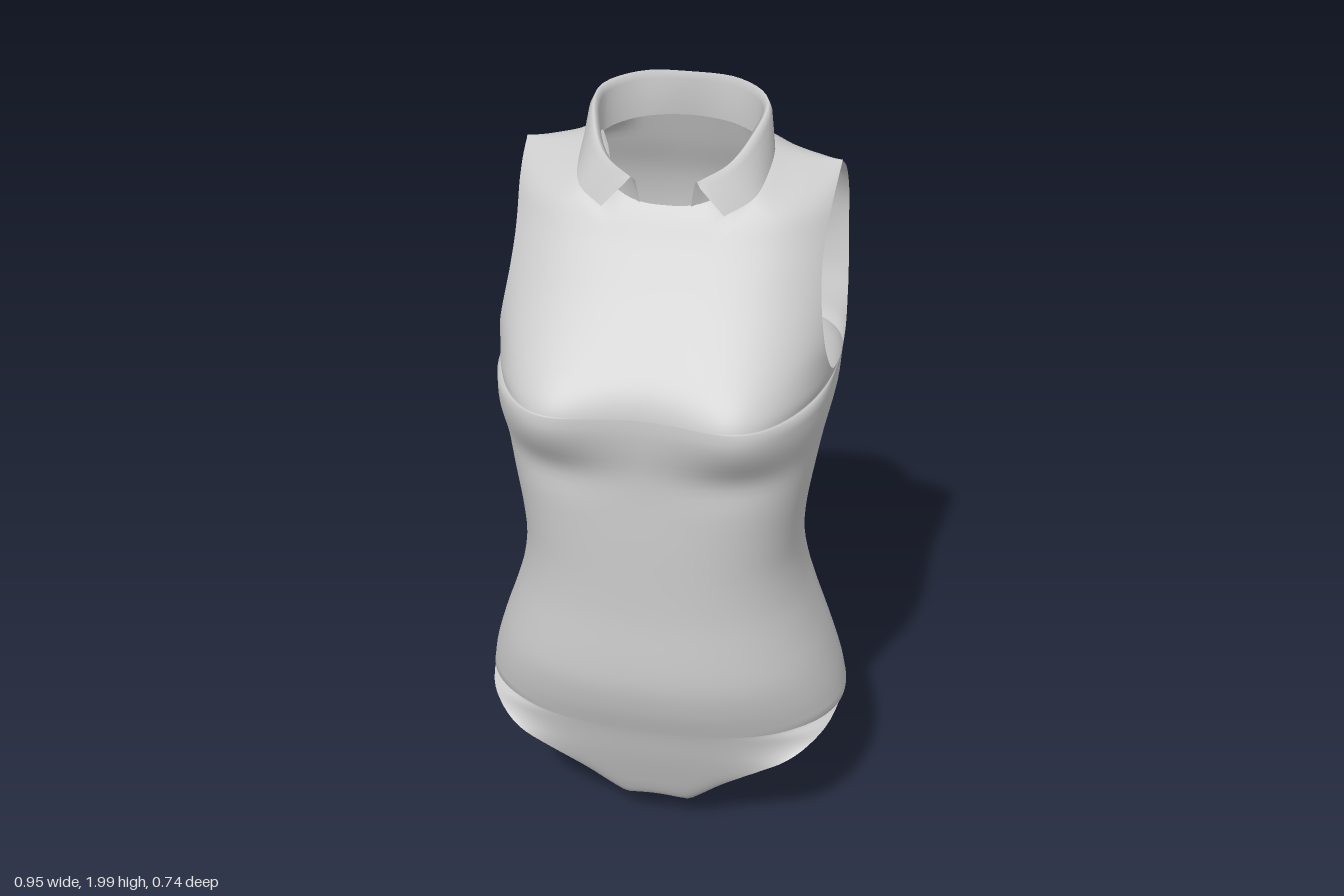
import * as THREE from 'three';
import { mergeGeometries, mergeVertices } from 'three/addons/utils/BufferGeometryUtils.js';

const HIP = 0.42, ARM = 1.37, SEAM_Z = -0.16, COLS = 60;
const { smoothstep: smooth, lerp, clamp } = THREE.MathUtils;
const bell = (d, r) => Math.exp(-((d / r) ** 2));

// Smooth curve through flat [key, value, key, value ...] pairs
function curve(p) {
  const n = p.length / 2, k = i => p[2 * i], v = i => p[2 * i + 1];
  const slope = i => {
    const a = Math.max(i - 1, 0), b = Math.min(i + 1, n - 1);
    return (v(b) - v(a)) / (k(b) - k(a));
  };
  return y => {
    if (y <= k(0)) return v(0);
    if (y >= k(n - 1)) return v(n - 1);
    let i = 0;
    while (y > k(i + 1)) i++;
    const h = k(i + 1) - k(i), t = (y - k(i)) / h, t2 = t * t, t3 = t2 * t;
    return (2 * t3 - 3 * t2 + 1) * v(i) + (t3 - 2 * t2 + t) * h * slope(i)
      + (3 * t2 - 2 * t3) * v(i + 1) + (t3 - t2) * h * slope(i + 1);
  };
}

// Whole torso, ignoring the openings: half width and depth of the side line
const girth = curve([0, .49, .2, .492, .36, .485, HIP, .475, .5, .46, .6, .43, .7, .395, .8, .365, .9, .35, 1, .355,
  1.1, .37, 1.2, .387, 1.3, .408, ARM, .412, 1.4, .416, 1.45, .428, 1.5, .438, 1.6, .45, 1.85, .47]);
const sideLine = curve([0, 0, HIP, 0, .6, .02, .9, .04, 1.15, .02, ARM, -.09, 1.5, -.11, 1.6, -.13, 1.7, -.15, 1.85, SEAM_Z]);
const shoulder = curve([0, 1.91, .1, 1.908, .2, 1.892, .26, 1.865, .33, 1.85, .385, 1.845]);

// Each panel: its outline at the leg and arm openings, centre profile and relief
const front = {
  legX: curve([.01, .042, .06, .05, .1, .085, .15, .13, .22, .2, .3, .3, .365, .4, HIP, .475]),
  legZ: curve([.01, -.02, .04, .02, .06, .06, .08, .12, .1, .155, .2, .2, .3, .235, .34, .232, .38, .185, .405, .12, HIP, 0]),
  armX: curve([ARM, .412, 1.45, .4, 1.6, .376, 1.7, .371, 1.845, .385]),
  armZ: curve([ARM, -.09, 1.378, -.02, 1.4, .05, 1.45, .095, 1.5, .105, 1.6, .07, 1.7, .01, 1.8, -.07, 1.83, -.11, 1.845, SEAM_Z]),
  centre: curve([.01, -.02, .04, .02, .06, .07, .1, .165, .15, .195, .2, .215, .3, .25, .4, .28, .5, .315, .6, .333, .8, .325, 1, .325,
    1.2, .325, 1.3, .338, 1.37, .34, 1.43, .32, 1.5, .268, 1.6, .185, 1.7, .11, 1.79, .045, 1.85, -.03, 1.91, -.13]),
  fullness: curve([HIP, .47, .8, .42, 1.2, .36, 1.36, .3, 1.5, .36, 1.9, .4]),
  power: curve([.5, 2.5, 1, 2.8, 1.36, 3.3, 1.6, 2.8]),
  top: x => shoulder(x) - .125 * (1 - Math.min(1, x / .205) ** 3),
  // Bust, with the fold below it
  relief: (x, y) => .05 * bell(Math.abs(x) - .25, .14) * bell(y - 1.35, .11)
    - .012 * bell(Math.abs(x) - .23, .13) * bell(y - 1.19, .05),
};
const back = {
  legX: curve([.01, .042, .05, .034, .09, .034, .13, .06, .19, .14, .25, .22, .3, .3, .365, .4, HIP, .475]),
  legZ: curve([.01, -.02, .04, -.1, .08, -.2, .13, -.305, .19, -.355, .27, -.35, .33, -.3, .38, -.19, .405, -.11, HIP, 0]),
  armX: curve([ARM, .412, 1.45, .402, 1.6, .39, 1.7, .388, 1.845, .385]),
  armZ: curve([ARM, -.09, 1.378, -.14, 1.4, -.2, 1.45, -.26, 1.5, -.295, 1.6, -.32, 1.7, -.31, 1.8, -.245, 1.83, -.205, 1.845, SEAM_Z]),
  centre: curve([.01, -.02, .04, -.1, .08, -.2, .13, -.3, .19, -.355, .3, -.37, .4, -.347, .5, -.312, .6, -.288, .8, -.258,
    .9, -.242, 1, -.237, 1.1, -.243, 1.2, -.273, 1.3, -.313, 1.4, -.35, 1.5, -.372, 1.6, -.372, 1.7, -.35, 1.8, -.305, 1.91, -.262]),
  fullness: curve([HIP, .47, .8, .42, 1.9, .4]),
  power: curve([.5, 2.5, 1, 2.8]),
  top: shoulder,
  // Seat cleft and spine groove
  relief: (x, y) => .07 * bell(x, .05) * smooth(y, .06, .18) * (1 - smooth(y, .2, .5))
    + .016 * bell(x, .09) * bell(y - 1.5, .25),
};

// Row positions: 0..1 legs, 1..2 torso, 2..3 chest to shoulders
const ROWS = [];
for (let i = 0; i < 30; i++) ROWS.push(i / 30);
for (let i = 0; i < 40; i++) ROWS.push(1 + i / 40);
for (let i = 0; i <= 36; i++) ROWS.push(2 + i / 36);

function rowHeight(row, top) {
  if (row < 1) return HIP - .41 * (1 - row) ** 1.6;
  return row < 2 ? lerp(HIP, ARM, row - 1) : lerp(ARM, top, smooth(row, 2, 3));
}

function panel(side, flip) {
  const pos = [], idx = [], n = COLS + 1;
  const depth = (x, y) => {
    const a = Math.min(1, Math.abs(x) / girth(y));
    const round = (1 - a ** side.power(y)) ** side.fullness(y);
    return lerp(sideLine(y), side.centre(y), round) + side.relief(x, y) * (1 - a ** 8);
  };
  ROWS.forEach((row, r) => {
    for (let c = 0; c <= COLS; c++) {
      const s = Math.sin((c / COLS - .5) * Math.PI), a = Math.abs(s);
      const top = side.top(a * .385);
      let y = rowHeight(row, top);
      const w = row < 1 ? side.legX(y) : row < 2 ? girth(y) : side.armX(y);
      const x = s * w;
      let z = depth(x, y);
      // Ease the border onto the leg or arm opening
      if (row < 1) z += (side.legZ(y) - depth(w, y)) * a ** 6;
      else if (row >= 2) z += (side.armZ(y) - depth(w, y)) * a ** 6;
      // Both panels roll over to meet on the shoulder seam
      const roll = clamp((y - top) / .09 + 1, 0, 1);
      if (row > 2) z = lerp(z, SEAM_Z, (1 - Math.sqrt(1 - roll * roll)) * smooth(Math.abs(x), .12, .205));
      // Crotch strip arches between its edges
      y += .045 * (1 - s * s) * (1 - smooth(y, .02, .16)) - .005 * (1 - smooth(y, 0, .1));
      pos.push(x, y, z);
      if (r && c) {
        const d = r * n + c, q = [d - n - 1, d - n, d, d - 1];
        if (flip) q.reverse();
        idx.push(q[0], q[1], q[2], q[0], q[2], q[3]);
      }
    }
  });
  return surface(pos, idx);
}

function surface(pos, idx) {
  const g = new THREE.BufferGeometry();
  g.setAttribute('position', new THREE.Float32BufferAttribute(pos, 3));
  g.setIndex(idx);
  return g;
}

// Folded collar: stand, rounded fold and falling flap lofted around the neck
function collarGeometry() {
  const half = [
    [[0, 1.89, -.255], [.12, 1.885, -.23], [.195, 1.87, -.16], [.183, 1.845, -.06], [.148, 1.815, .01], [.06, 1.783, .048]],
    [[0, 1.985, -.24], [.115, 1.98, -.228], [.19, 1.965, -.16], [.176, 1.925, -.05], [.135, 1.88, .025], [.07, 1.845, .056]],
    [[0, 2, -.256], [.12, 1.997, -.243], [.203, 1.983, -.16], [.19, 1.94, -.05], [.145, 1.893, .037], [.078, 1.858, .07]],
    [[0, 1.985, -.27], [.125, 1.98, -.256], [.212, 1.965, -.16], [.203, 1.922, -.045], [.157, 1.878, .045], [.088, 1.847, .08]],
    [[0, 1.925, -.28], [.13, 1.915, -.266], [.22, 1.885, -.16], [.226, 1.845, -.03], [.205, 1.815, .045], [.145, 1.785, .085]],
  ];
  const N = 48, pos = [], idx = [];
  half.forEach((pts, r) => {
    const right = pts.slice(1).reverse().map(([x, y, z]) => [-x, y, z]);
    const path = new THREE.CatmullRomCurve3([...right, ...pts].map(p => new THREE.Vector3(...p)));
    for (let i = 0; i <= N; i++) {
      pos.push(...path.getPoint(i / N).toArray());
      if (r && i) {
        const d = r * (N + 1) + i, u = d - N - 1;
        idx.push(u - 1, u, d, u - 1, d, d - 1);
      }
    }
  });
  return surface(pos, idx);
}

export function createModel() {
  const group = new THREE.Group();
  const material = new THREE.MeshStandardMaterial({ color: 0xcccccc, side: THREE.DoubleSide });
  const add = (name, geometry) => {
    geometry.computeVertexNormals();
    const mesh = new THREE.Mesh(geometry, material);
    mesh.name = name;
    group.add(mesh);
  };
  // Front and back panels welded along the side, shoulder and crotch seams
  add('bodysuit', mergeVertices(mergeGeometries([panel(front, false), panel(back, true)]), 1e-4));
  add('collar', collarGeometry());
  return group;
}
